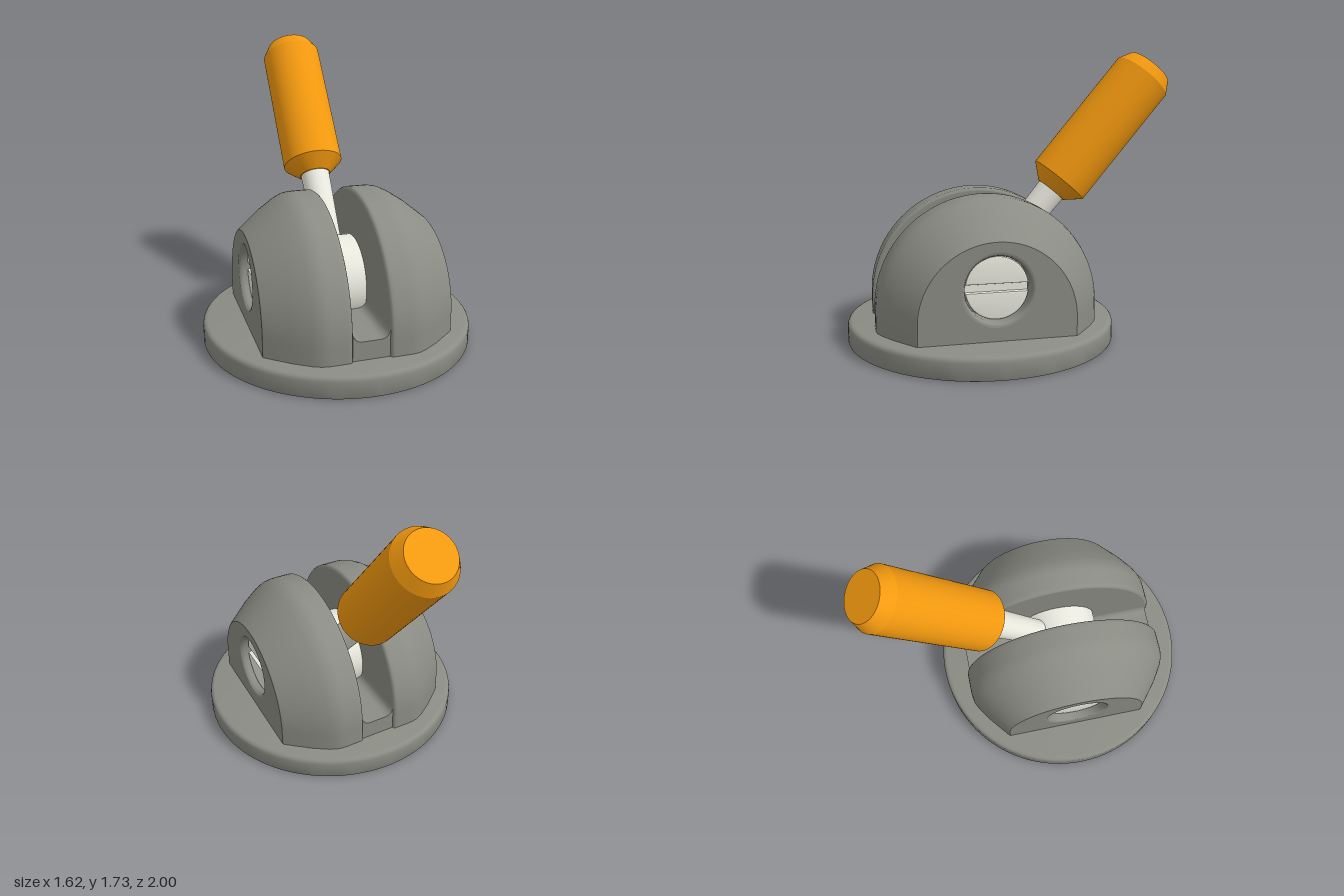
import * as THREE from 'three';
import { toCreasedNormals } from 'three/addons/utils/BufferGeometryUtils.js';

const grey = new THREE.MeshStandardMaterial({ color: 0x8b8c84 });
const white = new THREE.MeshStandardMaterial({ color: 0xebeadf });
const orange = new THREE.MeshStandardMaterial({ color: 0xf3990f });

const ARCH_Y = 0.24, SLOT = 0.108, FACE_X = 0.56, SCREW_Y = 0.42;

function add(parent, name, geometry, material) {
  const mesh = new THREE.Mesh(geometry, material);
  mesh.name = name;
  parent.add(mesh);
  return mesh;
}

function lathe(points, segments = 64) {
  const g = new THREE.LatheGeometry(points.map(([r, y]) => new THREE.Vector2(r, y)), segments);
  return toCreasedNormals(g, 0.5);
}

// Upright arch: half circle of radius r on straight legs
function archPoints(r, n = 48) {
  const pts = [[r, 0.1]];
  for (let i = 0; i <= n; i++) {
    const a = Math.PI * i / n;
    pts.push([r * Math.cos(a), ARCH_Y + r * Math.sin(a)]);
  }
  pts.push([-r, 0.1]);
  return pts;
}

function archShape(r) {
  return new THREE.Shape(archPoints(r).map(([u, v]) => new THREE.Vector2(u, v)));
}

// Arch cross-sections lofted along x
function archShell(profile) {
  const pos = [], index = [];
  const cols = archPoints(1).length;
  profile.forEach(([x, r], i) => {
    archPoints(r).forEach(([z, y], j) => {
      pos.push(x, y, z);
      if (i < profile.length - 1 && j < cols - 1) {
        const a = i * cols + j, b = a + cols;
        index.push(a, b, a + 1, b, b + 1, a + 1);
      }
    });
  });
  const g = new THREE.BufferGeometry();
  g.setAttribute('position', new THREE.Float32BufferAttribute(pos, 3));
  g.setIndex(index);
  g.computeVertexNormals();
  return g;
}

// One half of the housing, on the +x side, with its screw
function housingHalf() {
  const half = new THREE.Group();
  add(half, 'housingShell', archShell([
    [SLOT, 0.637], [0.112, 0.648], [0.122, 0.655], [0.14, 0.655], [0.225, 0.655], [0.25, 0.654],
    [0.285, 0.647], [0.33, 0.626], [0.42, 0.567], [0.553, 0.459], [FACE_X, 0.45],
  ]), grey);

  const wall = new THREE.ShapeGeometry(archShape(0.637));
  add(half, 'slotWall', wall.rotateY(-Math.PI / 2).translate(SLOT, 0, 0), grey);

  const face = archShape(0.45);
  face.holes.push(new THREE.Path().absarc(0, SCREW_Y, 0.212, 0, Math.PI * 2, true));
  const faceGeo = new THREE.ShapeGeometry(face, 32);
  add(half, 'sideFace', faceGeo.rotateY(Math.PI / 2).translate(FACE_X, 0, 0), grey);

  // Rounded recess running in from the side face
  const recessMat = grey.clone();
  recessMat.side = THREE.DoubleSide;
  const recess = add(half, 'screwRecess', lathe([
    [0.212, FACE_X], [0.2, 0.557], [0.191, 0.548], [0.187, 0.535], [0.187, 0.46], [0, 0.46],
  ]), recessMat);
  recess.rotation.z = -Math.PI / 2;
  recess.position.y = SCREW_Y;

  // Slotted screw: groove floor plus two raised segments
  const screw = new THREE.Group();
  screw.name = 'screw';
  screw.position.y = SCREW_Y;
  const core = new THREE.CylinderGeometry(0.18, 0.18, 0.03, 48).rotateZ(-Math.PI / 2);
  add(screw, 'screwGrooveFloor', core.translate(0.466, 0, 0), white);
  const R = 0.173, start = Math.asin(0.03 / R);
  for (const turn of [0, Math.PI]) {
    const segment = new THREE.Shape().absarc(0, 0, R, start, Math.PI - start, false);
    const g = new THREE.ExtrudeGeometry(segment, {
      depth: 0.03, bevelThickness: 0.007, bevelSize: 0.007, bevelSegments: 2, curveSegments: 40,
    });
    g.rotateZ(turn).rotateY(Math.PI / 2).translate(0.473, 0, 0);
    add(screw, 'screwHead', toCreasedNormals(g, 0.5), white);
  }
  half.add(screw);
  return half;
}

export function createModel() {
  const model = new THREE.Group();
  model.name = 'toggleSwitch';
  const body = new THREE.Group();
  body.name = 'switchBody';
  body.position.z = 0.188;
  model.add(body);

  // Round base plate with softened edges
  add(body, 'basePlate', lathe([
    [0, 0], [0.8, 0], [0.807, 0.003], [0.81, 0.01], [0.81, 0.1], [0.807, 0.114],
    [0.8, 0.123], [0.79, 0.128], [0.78, 0.13], [0, 0.13],
  ], 96), grey);

  // Two mirrored housing halves around the slot
  ['leftHousing', 'rightHousing'].forEach((name, i) => {
    const half = housingHalf();
    half.name = name;
    half.rotation.y = i * Math.PI;
    body.add(half);
  });

  // Slot floor, curving up into the slot walls
  const f = 0.055;
  const floor = new THREE.Shape();
  floor.moveTo(-SLOT, 0.1);
  floor.lineTo(SLOT, 0.1);
  floor.lineTo(SLOT, ARCH_Y + f);
  floor.absarc(SLOT - f, ARCH_Y + f, f, 0, -Math.PI / 2, true);
  floor.lineTo(f - SLOT, ARCH_Y);
  floor.absarc(f - SLOT, ARCH_Y + f, f, -Math.PI / 2, -Math.PI, true);
  const floorGeo = new THREE.ExtrudeGeometry(floor, { depth: 1.28, bevelEnabled: false, curveSegments: 10 });
  add(body, 'slotFloor', toCreasedNormals(floorGeo.translate(0, 0, -0.64), 0.5), grey);

  // Lever leaning back: hub, tapered shaft and grip
  const lever = new THREE.Group();
  lever.name = 'lever';
  lever.position.y = 0.35;
  lever.rotation.x = -THREE.MathUtils.degToRad(40);
  body.add(lever);
  const hub = new THREE.CylinderGeometry(0.258, 0.258, 0.212, 64).rotateZ(Math.PI / 2);
  add(lever, 'leverHub', hub, white);
  add(lever, 'leverShaft', lathe([[0, 0.1], [0.074, 0.1], [0.092, 0.72], [0, 0.72]], 48), white);
  add(lever, 'leverGrip', lathe([
    [0, 0.695], [0.098, 0.695], [0.188, 0.775], [0.188, 1.6], [0.145, 1.677], [0, 1.677],
  ]), orange);
  return model;
}
